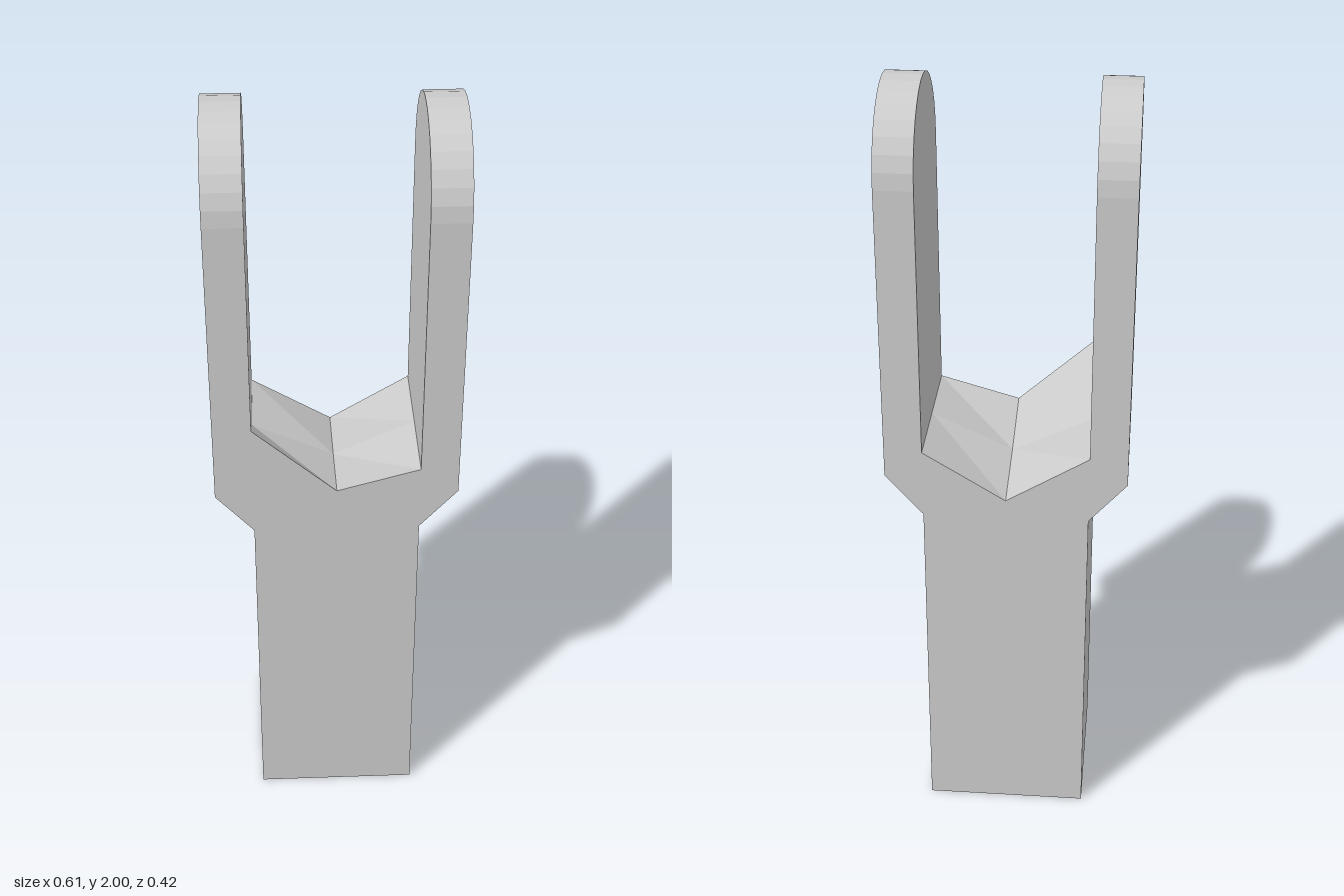
import * as THREE from 'three';

const HALF = 0.21;    // half width of the post
const OUTER = 0.306;  // outer face of the prongs
const FLARE_LOW = 0.92, FLARE_TOP = 1.03;

export function createModel() {
  const group = new THREE.Group();
  const material = new THREE.MeshStandardMaterial({ color: 0xcccccc, flatShading: true });
  const add = (name, geometry) => {
    const mesh = new THREE.Mesh(geometry, material);
    mesh.name = name;
    group.add(mesh);
  };

  // Square post whose top is an uneven saddle: rows run back to front, columns along x
  const saddle = [
    [1.10, 0.97, 1.10],
    [1.10, 1.00, 1.10],
    [1.23, 1.04, 1.10],
  ];
  const post = new THREE.BoxGeometry(2 * HALF, 1, 2 * HALF, 2, 1, 2);
  post.rotateY(Math.PI / 2).translate(0, 0.5, 0);
  const p = post.attributes.position;
  for (let i = 0; i < p.count; i++) {
    if (p.getY(i) < 0.5) continue;
    const col = Math.round(p.getX(i) / HALF) + 1;
    const row = Math.round(p.getZ(i) / HALF) + 1;
    p.setY(i, saddle[row][col]);
  }
  post.computeVertexNormals();
  add('post', post);

  // Round-topped prong outline, seen from the side
  const outline = new THREE.Shape();
  outline.moveTo(-HALF, FLARE_TOP);
  outline.lineTo(HALF, FLARE_TOP);
  outline.absarc(0, 2 - HALF, HALF, 0, Math.PI, false);
  outline.closePath();

  for (const [side, name] of [[1, 'left'], [-1, 'right']]) {
    const prong = new THREE.ExtrudeGeometry(outline, {
      depth: OUTER - HALF, bevelEnabled: false, curveSegments: 8,
    });
    prong.rotateY(Math.PI / 2).translate(side > 0 ? HALF : -OUTER, 0, 0);
    add(name + 'Prong', prong);

    // Sloped wedge carrying the prong out from the post
    const wedge = new THREE.Shape([
      new THREE.Vector2(side * HALF, FLARE_LOW),
      new THREE.Vector2(side * OUTER, FLARE_TOP),
      new THREE.Vector2(side * HALF, FLARE_TOP),
    ]);
    const flare = new THREE.ExtrudeGeometry(wedge, { depth: 2 * HALF, bevelEnabled: false });
    flare.translate(0, 0, -HALF);
    add(name + 'Flare', flare);
  }
  return group;
}
